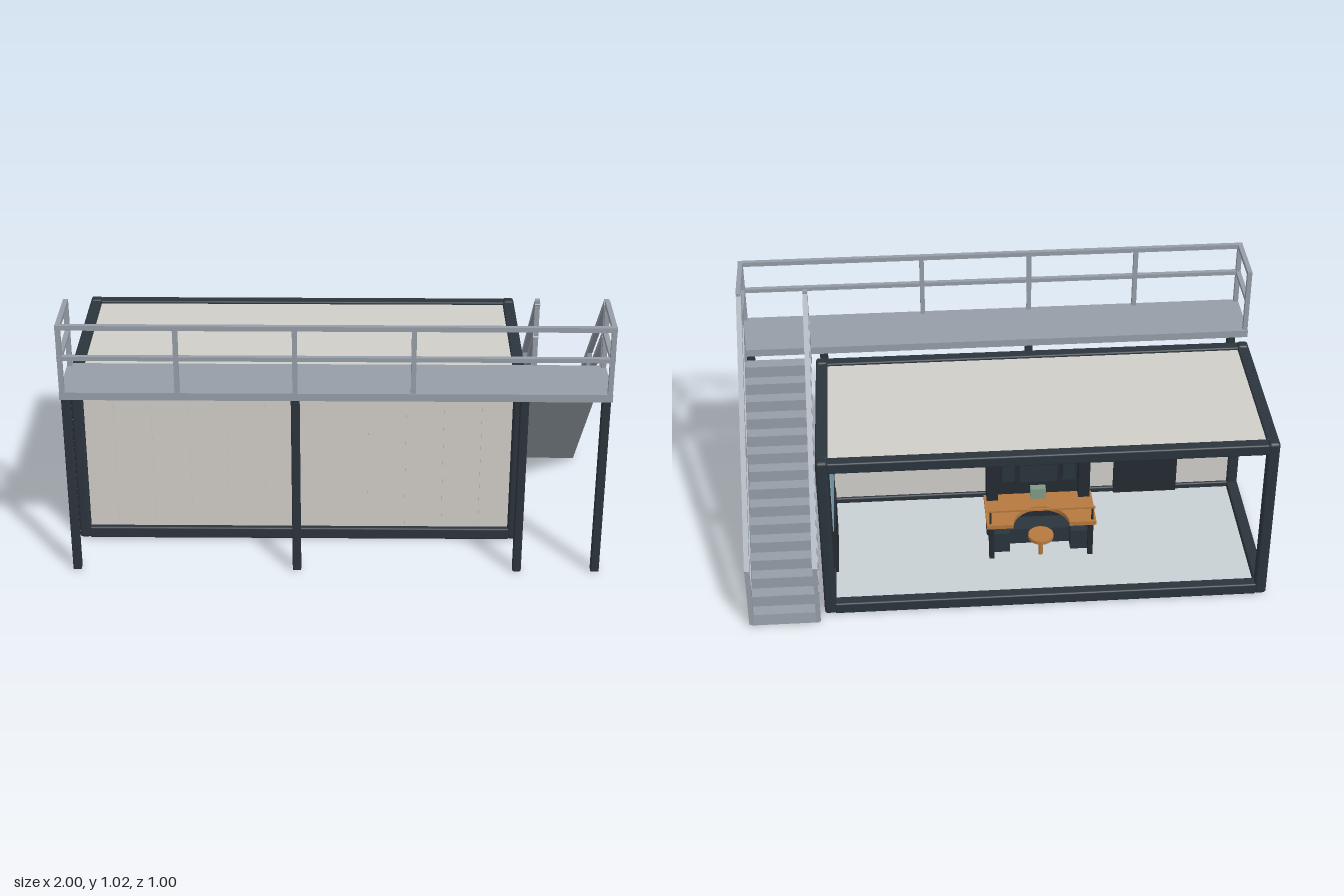
import * as THREE from 'three';
import { RoundedBoxGeometry } from 'three/addons/geometries/RoundedBoxGeometry.js';

const mat = (color) => new THREE.MeshStandardMaterial({ color });
const M = {
  frame: mat(0x2b343c), wall: mat(0xd0cdc8), floor: mat(0xc8d0d4), steel: mat(0x959da6),
  blue: mat(0x4a90ab), dark: mat(0x242b33), wood: mat(0xb5793f), glass: mat(0x86aabb), green: mat(0x7f9a86),
};

// Box given by its min and max on each axis
function box(parent, name, material, [x0, x1], [y0, y1], [z0, z1], radius = 0) {
  const w = x1 - x0, h = y1 - y0, d = z1 - z0;
  const geo = radius ? new RoundedBoxGeometry(w, h, d, 2, radius) : new THREE.BoxGeometry(w, h, d);
  const mesh = new THREE.Mesh(geo, material);
  mesh.name = name;
  mesh.position.set((x0 + x1) / 2, (y0 + y1) / 2, (z0 + z1) / 2);
  parent.add(mesh);
  return mesh;
}

function group(parent, name) {
  const g = new THREE.Group();
  g.name = name;
  parent.add(g);
  return g;
}

// Square bar running between two points in a plane of constant x
function slopedRail(parent, x, [y0, z0], [y1, z1], t = 0.02) {
  const len = Math.hypot(y1 - y0, z1 - z0);
  const mesh = new THREE.Mesh(new THREE.BoxGeometry(t, t, len), M.steel);
  mesh.name = 'stairRail';
  mesh.position.set(x, (y0 + y1) / 2, (z0 + z1) / 2);
  mesh.rotation.x = -Math.atan2(y1 - y0, z1 - z0);
  parent.add(mesh);
}

function buildContainer(root) {
  const g = group(root, 'container');
  const xs = [[-1, -0.955], [0.665, 0.71]], zs = [[-0.45, -0.405], [0.215, 0.26]];
  const ys = [[0.005, 0.052], [0.67, 0.715]];
  for (const x of xs) for (const z of zs) box(g, 'cornerPost', M.frame, x, [0.005, 0.72], z, 0.012);
  for (const y of ys) {
    for (const z of zs) box(g, 'longBeam', M.frame, [-0.96, 0.67], y, z, 0.006);
    for (const x of xs) box(g, 'endBeam', M.frame, x, y, [-0.41, 0.22], 0.006);
  }
  box(g, 'roof', M.wall, [-0.96, 0.67], [0.69, 0.705], [-0.41, 0.22]);
  box(g, 'floor', M.floor, [-0.96, 0.67], [0.012, 0.03], [-0.41, 0.22]);

  // Walls on the front and stair side, the other two sides are open
  box(g, 'frontWall', M.wall, [-0.96, 0.67], [0.05, 0.675], [0.226, 0.24]);
  box(g, 'sideWall', M.wall, [0.676, 0.69], [0.05, 0.675], [-0.41, 0.22]);
  for (let i = 0; i < 11; i++) {
    const x = -0.862 + i * 0.143;
    box(g, 'frontRib', M.wall, [x - 0.018, x + 0.018], [0.067, 0.618], [0.238, 0.247]);
  }
  for (let i = 0; i < 4; i++) {
    const z = 0.117 - i * 0.143;
    box(g, 'sideRib', M.wall, [0.688, 0.697], [0.067, 0.618], [z - 0.018, z + 0.018]);
  }
  box(g, 'frontBand', M.blue, [-0.955, 0.665], [0.63, 0.667], [0.238, 0.248]);
  box(g, 'sideBand', M.blue, [0.688, 0.698], [0.63, 0.667], [-0.405, 0.215]);

  // Framed panels with low cabinets on the inner walls
  box(g, 'panelFrame', M.dark, [0.666, 0.676], [0.26, 0.61], [-0.285, 0.07]);
  box(g, 'panel', M.glass, [0.662, 0.667], [0.27, 0.6], [-0.275, 0.06]);
  box(g, 'cabinet', M.dark, [0.655, 0.676], [0.03, 0.25], [-0.23, 0.03]);
  box(g, 'panelFrame', M.dark, [-0.705, -0.35], [0.26, 0.61], [0.216, 0.226]);
  box(g, 'panel', M.glass, [-0.695, -0.36], [0.27, 0.6], [0.212, 0.217]);
  box(g, 'cabinet', M.dark, [-0.74, -0.48], [0.03, 0.25], [0.205, 0.226]);
}

function buildWorkstation(root) {
  const g = group(root, 'workstation');
  const cx = -0.145;
  box(g, 'backBoard', M.dark, [cx - 0.17, cx + 0.17], [0.005, 0.43], [0, 0.02]);
  box(g, 'topShelf', M.frame, [cx - 0.18, cx + 0.18], [0.42, 0.445], [-0.05, 0.02]);
  box(g, 'screen', M.frame, [cx - 0.075, cx + 0.075], [0.28, 0.4], [-0.03, 0]);
  for (const s of [-1, 1]) {
    const side = (a, b) => [cx + s * a, cx + s * b].sort((p, q) => p - q);
    box(g, 'tower', M.dark, side(0.16, 0.205), [0.005, 0.43], [-0.04, 0.03]);
    box(g, 'sideCabinet', M.frame, side(0.12, 0.2), [0.005, 0.12], [-0.15, -0.01]);
    box(g, 'speaker', M.frame, side(0.095, 0.145), [0.3, 0.39], [-0.05, 0]);
    box(g, 'leg', M.dark, side(0.185, 0.205), [0.005, 0.19], [-0.19, -0.17]);
    box(g, 'railPost', M.dark, side(0.196, 0.204), [0.2, 0.26], [-0.19, -0.182]);
  }
  box(g, 'frontRail', M.wood, [cx - 0.21, cx + 0.21], [0.258, 0.266], [-0.19, -0.182]);

  // Desk top with a rounded cutout along its working edge
  const s = new THREE.Shape();
  s.moveTo(-0.215, 0);
  s.lineTo(-0.215, 0.2);
  s.lineTo(-0.11, 0.2);
  s.absarc(0, 0.2, 0.11, Math.PI, 2 * Math.PI, false);
  s.lineTo(0.215, 0.2);
  s.lineTo(0.215, 0);
  const desk = new THREE.Mesh(new THREE.ExtrudeGeometry(s, { depth: 0.018, bevelEnabled: false }), M.wood);
  desk.name = 'deskTop';
  desk.rotation.x = -Math.PI / 2;
  desk.rotation.z = Math.PI;
  desk.position.set(cx, 0.185, 0);
  desk.rotation.set(-Math.PI / 2, 0, 0);
  desk.position.z = 0;
  g.add(desk);

  // Stool in front of the desk
  const cyl = (name, m, r, h, y) => {
    const mesh = new THREE.Mesh(new THREE.CylinderGeometry(r, r, h, 20), m);
    mesh.name = name;
    mesh.position.set(cx, y, -0.17);
    g.add(mesh);
  };
  cyl('stoolSeat', M.wood, 0.05, 0.015, 0.12);
  cyl('stoolLeg', M.wood, 0.009, 0.11, 0.06);
  cyl('stoolFoot', M.dark, 0.045, 0.012, 0.011);
  box(g, 'kneePanel', M.frame, [cx - 0.12, cx + 0.12], [0.005, 0.1], [-0.1, -0.02]);
  box(g, 'cushion', M.green, [cx - 0.03, cx + 0.03], [0.2, 0.25], [-0.04, -0.01]);
  // Turn the desk front toward the open back of the room
  desk.scale.y = 1;
  desk.updateMatrix();
}

function buildWalkway(root) {
  const g = group(root, 'walkway');
  box(g, 'deck', M.steel, [-1, 1], [0.735, 0.765], [0.26, 0.5]);
  for (const x of [-0.98, -0.147, 0.685, 0.98])
    box(g, 'column', M.frame, [x - 0.016, x + 0.016], [0.005, 0.735], [0.459, 0.491], 0.005);
  for (const x of [-0.99, -0.573, -0.147, 0.28, 0.99])
    box(g, 'railPost', M.steel, [x - 0.009, x + 0.009], [0.765, 1.015], [0.48, 0.498]);
  for (const [y0, y1] of [[0.892, 0.908], [1.012, 1.03]]) {
    box(g, 'frontRail', M.steel, [-1, 1], [y0, y1], [0.48, 0.498]);
    for (const x of [-0.99, 0.99]) box(g, 'endRail', M.steel, [x - 0.009, x + 0.009], [y0, y1], [0.265, 0.482]);
  }
  for (const x of [-0.99, 0.99])
    box(g, 'endPost', M.steel, [x - 0.009, x + 0.009], [0.765, 1.03], [0.265, 0.283]);
}

function buildStairs(root) {
  const g = group(root, 'stairs');
  // Side profile drawn with shape x = -z, then turned to extrude along x
  const s = new THREE.Shape();
  s.moveTo(-0.26, 0.7);
  s.lineTo(0.395, 0.005);
  s.lineTo(0.495, 0.005);
  for (let i = 14; i >= 0; i--) {
    const y = 0.717 - 0.0475 * i, f = -0.21 + 0.05 * i;
    s.lineTo(f, y);
    s.lineTo(f - 0.05, y);
  }
  s.closePath();
  const flight = new THREE.Mesh(new THREE.ExtrudeGeometry(s, { depth: 0.255, bevelEnabled: false }), M.steel);
  flight.name = 'flight';
  flight.rotation.y = Math.PI / 2;
  flight.position.x = 0.732;
  g.add(flight);

  for (const x of [0.735, 0.988]) {
    slopedRail(g, x, [1.02, 0.26], [0.263, -0.49]);
    slopedRail(g, x, [0.89, 0.26], [0.14, -0.49]);
    for (const [z, y0, y1] of [[0.255, 0.7, 1.03], [-0.112, 0.36, 0.65], [-0.488, 0.01, 0.268]])
      box(g, 'stairPost', M.steel, [x - 0.009, x + 0.009], [y0, y1], [z - 0.009, z + 0.009]);
  }
}

export function createModel() {
  const root = new THREE.Group();
  root.name = 'containerWithStairs';
  buildContainer(root);
  buildWorkstation(root);
  buildWalkway(root);
  buildStairs(root);
  return root;
}
